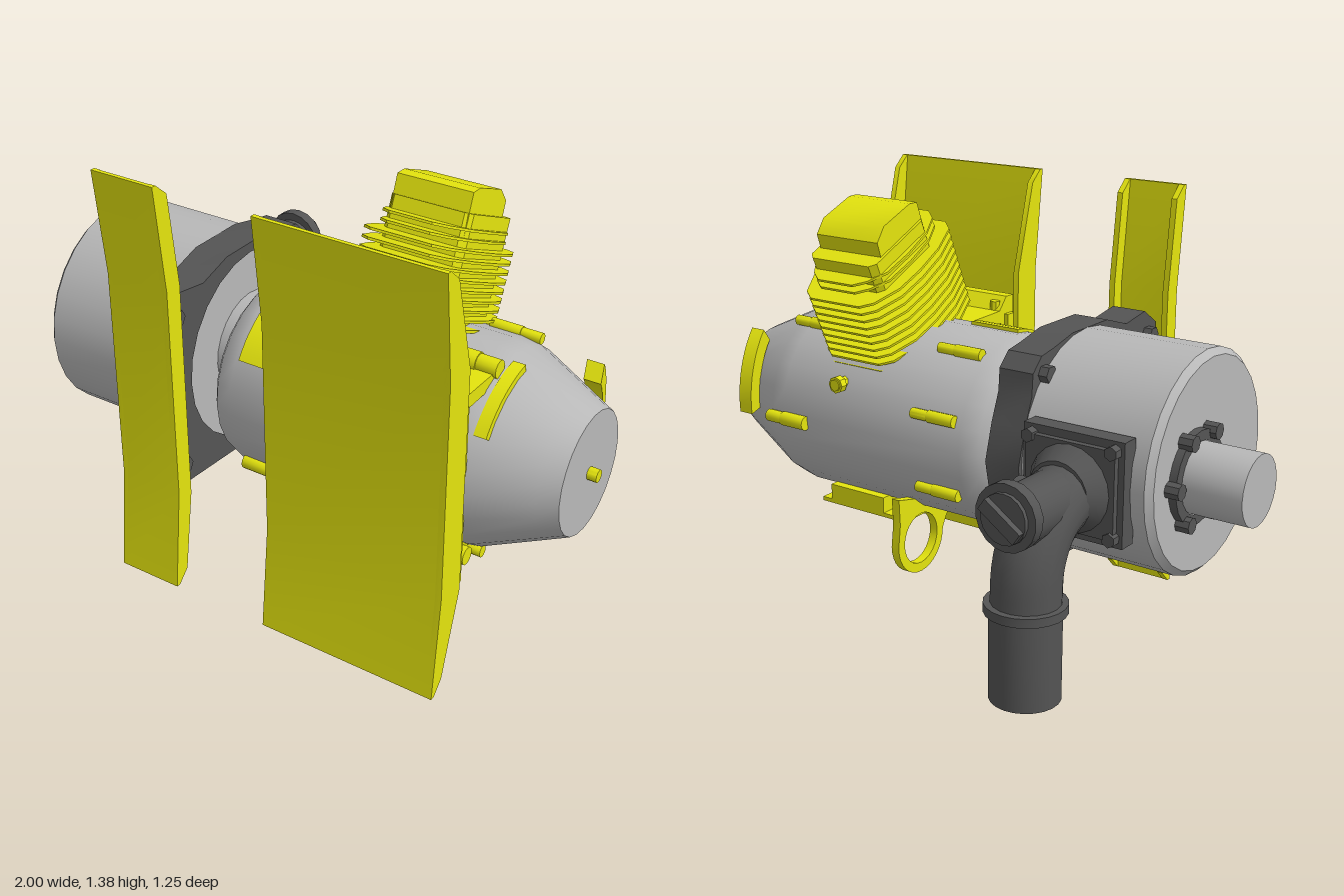
import * as THREE from 'three';
import { toCreasedNormals } from 'three/addons/utils/BufferGeometryUtils.js';

const mat = (name, color) => {
  const m = new THREE.MeshStandardMaterial({ color });
  m.name = name;
  return m;
};

export function createModel() {
  const root = new THREE.Group();
  root.name = 'engineUnit';
  const yellow = mat('yellow', 0xe4e40e);
  const grey = mat('grey', 0xb8b8b8);
  const dark = mat('darkGrey', 0x545454);
  const CY = 0.61, CZ = 0.16; // main body axis

  const add = (name, geo, material, parent = root) => {
    const mesh = new THREE.Mesh(toCreasedNormals(geo, 0.6), material);
    mesh.name = name;
    parent.add(mesh);
    return mesh;
  };
  // extrude a [z, y] outline along x
  const outline = (pts) => pts.map(([z, y]) => new THREE.Vector2(-z, y));
  const slab = (pts, x0, x1, hole) => {
    const shape = new THREE.Shape(outline(pts));
    if (hole) shape.holes.push(new THREE.Path(outline(hole)));
    return new THREE.ExtrudeGeometry(shape, { depth: x1 - x0, bevelEnabled: false })
      .rotateY(Math.PI / 2).translate(x0, 0, 0);
  };
  const arcPts = (cz, cy, r, a0, a1, n) => Array.from({ length: n + 1 }, (_, i) => {
    const a = THREE.MathUtils.degToRad(a0 + (a1 - a0) * i / n);
    return [cz + r * Math.cos(a), cy + r * Math.sin(a)];
  });
  // curved strip wrapped round the body axis
  const strip = (r0, r1, a0, a1, x0, x1) => slab(
    [...arcPts(CZ, CY, r1, a0, a1, 10), ...arcPts(CZ, CY, r0, a1, a0, 10)], x0, x1);
  // turned part along x from [x, radius] points
  const turned = (pts, cy, cz, sides = 24) => new THREE.LatheGeometry(
    pts.map(([x, r]) => new THREE.Vector2(r, x)), sides)
    .rotateZ(-Math.PI / 2).translate(0, cy, cz);
  const rodX = (r, x0, x1, y, z, n = 12) => new THREE.CylinderGeometry(r, r, x1 - x0, n)
    .rotateZ(Math.PI / 2).translate((x0 + x1) / 2, y, z);
  const rodY = (r, y0, y1, x, z, n = 16) => new THREE.CylinderGeometry(r, r, y1 - y0, n)
    .translate(x, (y0 + y1) / 2, z);
  const rodZ = (r, z0, z1, x, y, n = 16) => new THREE.CylinderGeometry(r, r, z1 - z0, n)
    .rotateX(Math.PI / 2).translate(x, y, (z0 + z1) / 2);
  const box = (x0, x1, y0, y1, z0, z1) => new THREE.BoxGeometry(x1 - x0, y1 - y0, z1 - z0)
    .translate((x0 + x1) / 2, (y0 + y1) / 2, (z0 + z1) / 2);

  // main body, neck and pump housing
  add('mainBody', turned([[-0.15, 0], [-0.15, 0.27], [-0.13, 0.295], [-0.07, 0.318], [0.66, 0.32],
    [0.72, 0.308], [0.91, 0.22], [0.97, 0.192], [0.97, 0]], CY, CZ), grey);
  add('neck', rodX(0.175, -0.25, -0.14, 0.645, 0.13, 24), grey);
  add('pumpHousing', turned([[-0.785, 0], [-0.785, 0.33], [-0.765, 0.35], [-0.345, 0.35],
    [-0.345, 0.33], [-0.24, 0.33], [-0.24, 0]], 0.65, 0.13, 28), grey);
  add('shaft', rodX(0.11, -1, -0.78, 0.64, 0.03, 24), grey);
  add('endNub', rodX(0.02, 0.96, 1, CY, CZ), yellow);

  // joint flange with ears
  add('jointFlange', slab([[0.56, 0.36], [0.56, 0.93], [0.485, 0.98], [0.37, 0.962], [0.25, 1.0],
    [0.05, 1.0], [-0.06, 0.975], [-0.12, 0.965], [-0.165, 0.92], [-0.17, 0.85], [-0.205, 0.76],
    [-0.237, 0.645], [-0.21, 0.52], [-0.165, 0.43], [-0.106, 0.35], [-0.16, 0.285],
    [-0.155, 0.238], [-0.095, 0.227], [-0.015, 0.285], [0.1, 0.285], [0.48, 0.31]], -0.35, -0.23,
  arcPts(0.13, 0.65, 0.318, 0, 345, 23)), dark);
  for (const [z, y] of [[-0.11, 0.91], [-0.12, 0.27], [0.5, 0.9], [0.5, 0.38]])
    add('flangeBolt', rodX(0.028, -0.38, -0.22, y, z, 6), dark);

  // shaft seal ring and bolts
  add('sealRing', slab(arcPts(0.03, 0.64, 0.145, 0, 345, 23), -0.81, -0.78,
    arcPts(0.03, 0.64, 0.112, 0, 345, 23)), dark);
  for (const [z, y] of arcPts(0.03, 0.64, 0.145, 0, 300, 5))
    add('sealBolt', rodX(0.026, -0.83, -0.78, y, z, 8), dark);
  add('housingPlug', rodX(0.035, -0.815, -0.78, 0.55, 0.3, 8), dark);

  // pipe fitting on the back of the housing
  const PX = -0.55;
  add('pipeMount', box(-0.72, -0.38, 0.485, 0.805, -0.255, -0.195), dark);
  add('pipeMountFace', box(-0.7, -0.4, 0.51, 0.78, -0.275, -0.25), dark);
  for (const x of [-0.69, -0.41]) for (const y of [0.515, 0.775])
    add('mountBolt', rodZ(0.022, -0.285, -0.25, x, y, 6), dark);
  add('pipeFlare', new THREE.CylinderGeometry(0.1, 0.14, 0.07, 20)
    .rotateX(-Math.PI / 2).translate(PX, 0.64, -0.3), dark);
  const bend = new THREE.CatmullRomCurve3([[0.63, -0.27], [0.625, -0.33], [0.575, -0.42],
    [0.48, -0.475], [0.34, -0.487]].map(([y, z]) => new THREE.Vector3(PX, y, z)));
  add('pipeBend', new THREE.TubeGeometry(bend, 14, 0.103, 18), dark);
  add('branchPipe', rodZ(0.088, -0.56, -0.27, PX, 0.635, 18), dark);
  add('branchCollar', rodZ(0.1, -0.592, -0.555, PX, 0.65, 18), dark);
  add('branchCap', rodZ(0.075, -0.605, -0.59, PX, 0.65, 18), dark);
  add('capWing', box(-0.07, 0.07, -0.02, 0.02, -0.625, -0.6).rotateZ(0.6)
    .translate(PX, 0.65, 0), dark);
  add('sidePlug', rodX(0.055, PX, -0.425, 0.62, -0.35, 14), dark);
  add('pipeCollar', rodY(0.122, 0.34, 0.368, PX, -0.487, 22), dark);
  add('outletPipe', new THREE.LatheGeometry([[0, 0.25], [0.092, 0.25], [0.092, 0.07],
    [0.106, 0.07], [0.106, 0.35], [0, 0.35]].map(([r, y]) => new THREE.Vector2(r, y)), 22)
    .translate(PX, 0, -0.487), dark);

  // channel shaped front shields
  const shield = (name, x0, x1, d) => {
    const g = new THREE.Group();
    g.name = name;
    root.add(g);
    add('skin', slab([[0.625, 1.38], [0.589, 1.04], [0.589, 0.34], [0.625, 0], [0.612, 0],
      [0.575, 0.34], [0.575, 1.04], [0.612, 1.38]], x0 + 0.002, x1 - 0.002), yellow, g);
    const side = [[0.625, 1.38], [0.61, 1.38], [0.565, 1.34], [d, 1.04], [d, 0.31], [0.57, 0.04],
      [0.61, 0], [0.625, 0], [0.589, 0.34], [0.589, 1.04]];
    for (const x of [x0, x1 - 0.02]) add('sideWall', slab(side, x, x + 0.02), yellow, g);
  };
  shield('smallShield', -0.408, -0.187, 0.53);
  shield('largeShield', 0.147, 0.745, 0.484);

  // bracket holding the large shield
  add('shieldBracket', slab([[0.5, 0.96], [0.46, 0.96], [0.42, 0.915], [0.28, 0.912], [0.2, 0.9],
    [0.28, 0.87], [0.43, 0.87], [0.455, 0.8], [0.5, 0.8]], 0.18, 0.71), yellow);
  add('bracketShelf', box(0.165, 0.725, 0.85, 0.87, 0.49, 0.58), yellow);
  for (const x of [0.165, 0.7]) add('bracketWeb', box(x, x + 0.03, 0.31, 0.9, 0.45, 0.49), yellow);
  for (const x of [0.21, 0.44, 0.65])
    add('bracketBolt', rodY(0.018, 0.9, 0.945, x, 0.435, 8), yellow);
  for (const [x, w] of [[0.2, 0.07], [0.57, 0.13]]) {
    add('lowerLug', slab([[0.49, 0.32], [0.49, 0.4], [0.41, 0.4], [0.35, 0.39], [0.38, 0.345],
      [0.47, 0.315]], x, x + w), yellow);
    add('lugPin', rodX(0.028, x - 0.02, x + w + 0.02, 0.363, 0.4), yellow);
  }

  // finned cylinder, leaning back
  const engine = new THREE.Group();
  engine.name = 'finnedCylinder';
  engine.position.set(0.387, 0.9, 0.16);
  engine.rotation.x = THREE.MathUtils.degToRad(-24);
  root.add(engine);
  const plate = (pts, y, h) => new THREE.ExtrudeGeometry(
    new THREE.Shape(pts.map(([x, t]) => new THREE.Vector2(x, t))), { depth: h, bevelEnabled: false })
    .rotateX(-Math.PI / 2).translate(0, y, 0);
  // symmetric outline from [half width, position] points
  const mirrored = (half) => [...half, ...half.map(([w, t]) => [-w, t]).reverse()];
  add('cylinderCore', plate(mirrored([[0.115, -0.1], [0.135, -0.08], [0.135, 0.17],
    [0.115, 0.19]]), -0.12, 0.49), yellow, engine);
  for (let i = 0; i < 13; i++) {
    const k = i > 10 ? 0.03 : 0; // the top fins are smaller
    add('fin', plate(mirrored([[0.1 - k, -0.225 + k], [0.14 - k, -0.19 + k], [0.172 - k, -0.08],
      [0.183 - k, 0.04], [0.178 - k, 0.15], [0.14 - k, 0.24 - k], [0.1 - k, 0.27 - k]]),
    -0.022 + i * 0.0285, 0.008), yellow, engine);
  }
  add('headCover', slab([[0.09, 0.3], [0.095, 0.43], [0.06, 0.445], [-0.08, 0.45], [-0.13, 0.42],
    [-0.14, 0.3]], -0.125, 0.125), yellow, engine);

  // rods and curved strips on the body
  const rods = [[120, -0.05, 0.02], [162, -0.05, 0.02], [208, -0.05, 0.02], [268, -0.06, 0.022],
    [-36, -0.05, 0.024], [120, 0.555, 0.02], [183, 0.555, 0.024], [-64, 0.555, 0.022],
    [72, 0.555, 0.032]];
  for (const [a, x, r] of rods) {
    const [[z, y]] = arcPts(CZ, CY, 0.325, a, a, 1);
    add('bodyRod', rodX(r, x, x + 0.1, y, z), yellow);
    add('bodyRodTip', rodX(r * 0.87, x + 0.1, x + 0.165, y, z), yellow);
  }
  add('frontPatch', strip(0.3, 0.327, 32, 85, -0.055, 0.13), yellow);
  add('coneStrip', strip(0.27, 0.307, 35, 84, 0.725, 0.765), yellow);
  // handle slanted to follow the cone
  const slant = new THREE.Matrix4().set(1, 0, 0.27, 0.043, 0, 1, 0, 0, 0, 0, 1, 0, 0, 0, 0, 1);
  add('rearHandle', strip(0.252, 0.311, 131, 187, 0.815, 0.87).applyMatrix4(slant), yellow);
  add('rearKnob', rodZ(0.02, -0.17, -0.05, 0.42, 0.75, 8), yellow);
  add('rearKnobHead', rodZ(0.028, -0.165, -0.14, 0.42, 0.75, 8), yellow);

  // lifting ring and plate underneath
  add('liftingRing', slab([[0.165, 0.31], [0.125, 0.26], ...arcPts(-0.015, 0.222, 0.12, 0, -180, 16),
    [-0.125, 0.3], [-0.13, 0.39], [0, 0.36], [0.1, 0.33]], 0.19, 0.22,
  arcPts(-0.015, 0.222, 0.088, 0, 345, 23)), yellow);
  add('bottomPlate', box(0.24, 0.6, 0.272, 0.286, -0.04, 0.18), yellow);
  add('bottomBlock', box(0.33, 0.56, 0.28, 0.34, -0.04, 0.09), yellow);
  add('bottomBoss', rodY(0.045, 0.26, 0.3, 0.4, 0.04), yellow);
  add('bottomBolt', rodY(0.022, 0.253, 0.27, 0.4, 0.04, 6), yellow);

  return root;
}
